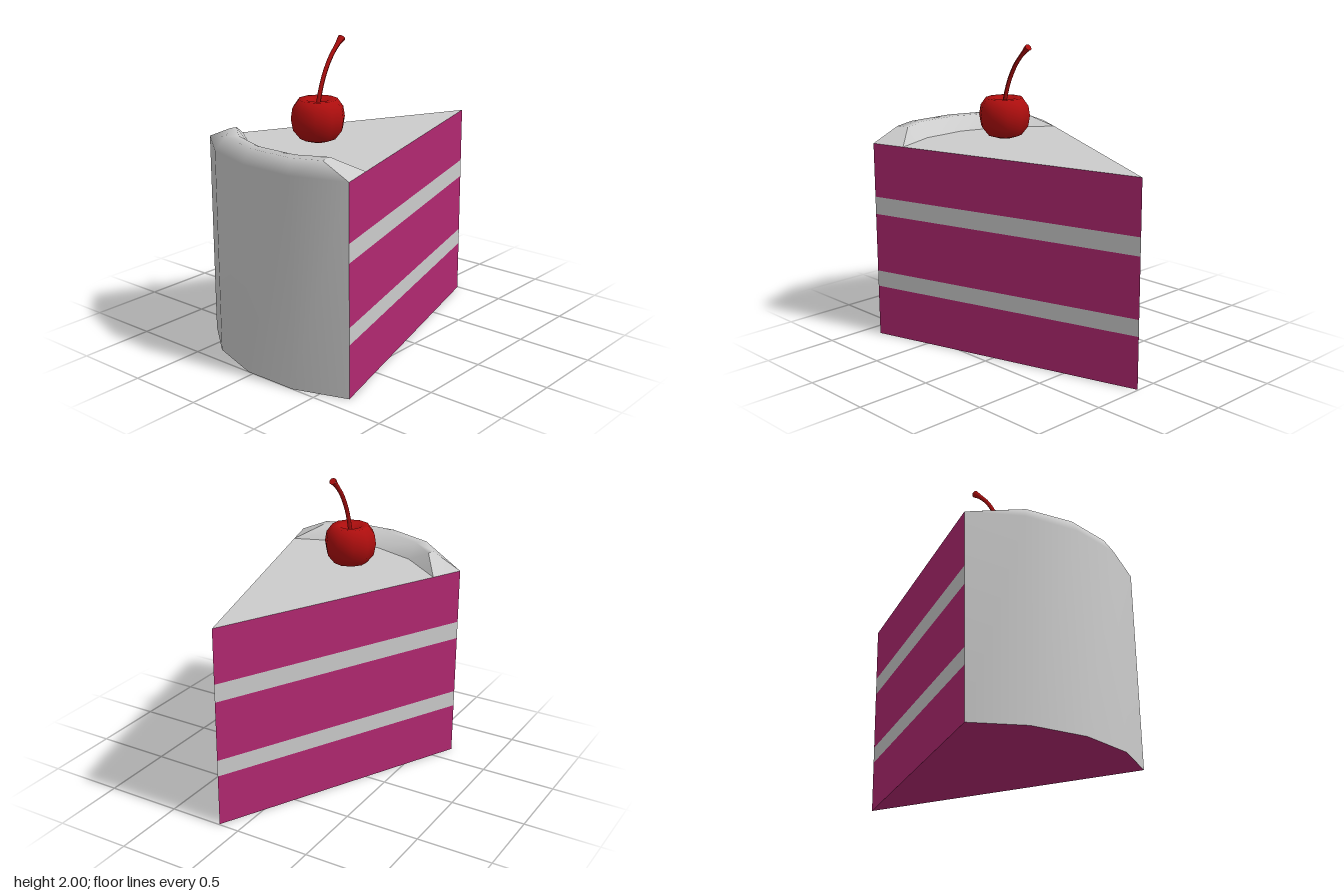
import * as THREE from 'three';

const mat = (color) => new THREE.MeshStandardMaterial({ color });
const cake = mat(0xb22871), cream = mat(0xcccccc), red = mat(0xae0e0e);

const TOP = 1.34, CREST = 1.43;
// plan outlines [x, z], running from the front corner round the back to the rear corner
const tip = [0.995, 0.143];
const outer = [[-0.88, 0.68], [-1, 0.33], [-1, -0.04], [-0.88, -0.4], [-0.65, -0.687]];
const crestOut = [[-0.875, 0.48], [-0.95, 0.3], [-0.95, -0.03], [-0.84, -0.34], [-0.68, -0.47]];
const crestIn = [[-0.79, 0.46], [-0.88, 0.27], [-0.88, -0.02], [-0.78, -0.29], [-0.63, -0.46]];
const inner = [[-0.65, 0.614], [-0.77, 0.31], [-0.78, 0.0], [-0.68, -0.29], [-0.45, -0.588]];

const at = (line, y) => line.map(([x, z]) => [x, y, z]);

// surface through rows of points, facing outward when rows climb
function surface(rows) {
  const n = rows[0].length, index = [];
  for (let j = 0; j < rows.length - 1; j++) {
    for (let i = 0; i < n - 1; i++) {
      const a = j * n + i, b = a + n;
      index.push(a, b, a + 1, b, b + 1, a + 1);
    }
  }
  const g = new THREE.BufferGeometry();
  g.setAttribute('position', new THREE.Float32BufferAttribute(rows.flat(2), 3));
  g.setIndex(index);
  g.computeVertexNormals();
  return g;
}

function add(group, name, geometry, material) {
  const mesh = new THREE.Mesh(geometry, material);
  mesh.name = name;
  group.add(mesh);
  return mesh;
}

function createSlice() {
  const slice = new THREE.Group();
  slice.name = 'slice';

  // striped cut sides
  const levels = [0, 0.345, 0.455, 0.855, 0.975, TOP];
  for (let k = 0; k < 5; k++) {
    const filling = k % 2 === 1;
    for (const [side, edge] of [['front', [tip, outer[0]]], ['back', [outer[4], tip]]]) {
      add(slice, side + (filling ? 'Filling' : 'Sponge'),
        surface([at(edge, levels[k]), at(edge, levels[k + 1])]), filling ? cream : cake);
    }
  }

  // flat base and icing top, both fanning from the tip
  const tips = outer.map(() => tip);
  add(slice, 'base', surface([at(tips, 0), at(outer, 0)]), cake);
  add(slice, 'topIcing', surface([at(inner, TOP), at(tips, TOP)]), cream);

  // curved outer wall with raised rim
  add(slice, 'outerIcing', surface([
    at(outer, 0), at(outer, TOP), at(crestOut, CREST), at(crestIn, CREST), at(inner, TOP),
  ]), cream);

  // sloping ends of the rim
  const low = (i) => at([outer[i], inner[i]], TOP);
  const high = (i) => at([crestOut[i], crestIn[i]], CREST);
  add(slice, 'rimFrontEnd', surface([high(0), low(0)]), cream);
  add(slice, 'rimBackEnd', surface([low(4), high(4)]), cream);
  return slice;
}

function createCherry() {
  const cherry = new THREE.Group();
  cherry.name = 'cherry';

  // ten-sided fruit with a dimple on top
  const profile = [[0, 1.352], [0.05, 1.357], [0.115, 1.378], [0.16, 1.435], [0.173, 1.51],
    [0.163, 1.575], [0.125, 1.628], [0.075, 1.625], [0, 1.585]].map(([r, y]) => new THREE.Vector2(r, y));
  const fruit = add(cherry, 'fruit', new THREE.LatheGeometry(profile, 10, Math.PI / 2), red);
  fruit.position.set(-0.353, 0, -0.017);

  // curved stem, flared at its end
  const path = new THREE.CatmullRomCurve3([[-0.355, 1.57], [-0.34, 1.64], [-0.3, 1.755],
    [-0.235, 1.868], [-0.165, 1.945], [-0.122, 1.983]].map(([x, y]) => new THREE.Vector3(x, y, -0.016)));
  const steps = 10, sides = 8;
  const stem = new THREE.TubeGeometry(path, steps, 0.014, sides);
  const pos = stem.attributes.position, v = new THREE.Vector3();
  for (let i = 0; i < pos.count; i++) {
    const ring = Math.floor(i / (sides + 1));
    const flare = [1, 1.2, 1.75][Math.max(0, ring - steps + 2)];
    const c = path.getPointAt(ring / steps);
    v.fromBufferAttribute(pos, i).sub(c).multiplyScalar(flare).add(c);
    pos.setXYZ(i, v.x, v.y, v.z);
  }
  stem.computeVertexNormals();
  add(cherry, 'stem', stem, red);

  const cap = add(cherry, 'stemEnd', new THREE.CircleGeometry(0.0245, sides), red);
  cap.position.copy(path.getPointAt(1));
  cap.quaternion.setFromUnitVectors(new THREE.Vector3(0, 0, 1), path.getTangentAt(1));
  return cherry;
}

export function createModel() {
  const model = new THREE.Group();
  model.name = 'cakeSlice';
  model.add(createSlice(), createCherry());
  return model;
}
